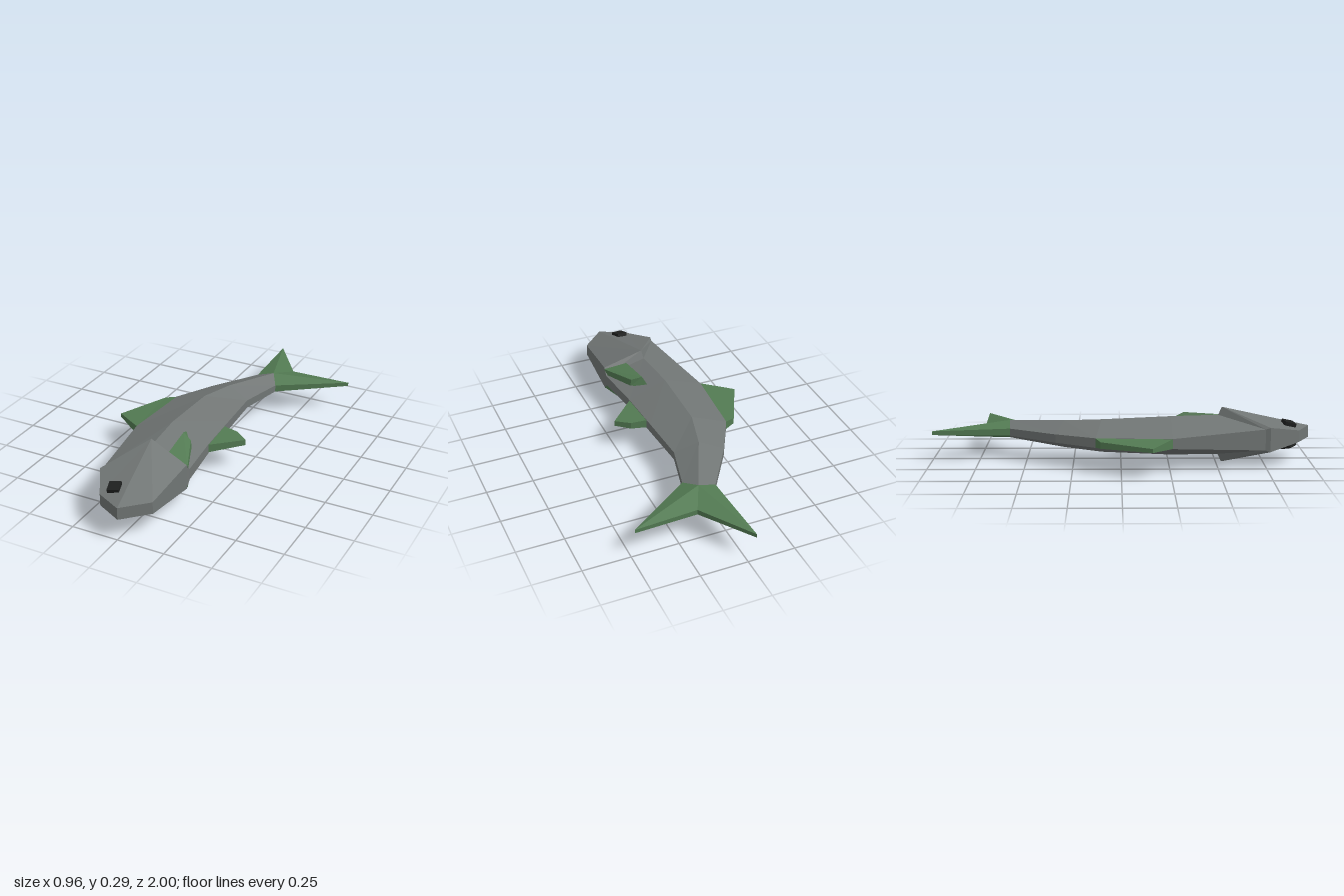
import * as THREE from 'three';

const MID = 0.147; // height of the mirror plane of the fish lying on its side

const material = (name, color) => {
  const m = new THREE.MeshStandardMaterial({ color });
  m.name = name;
  m.flatShading = true;
  return m;
};

// Faceted geometry from triangles of [x, y, z] corners
function facets(name, tris, mat) {
  const g = new THREE.BufferGeometry();
  g.setAttribute('position', new THREE.Float32BufferAttribute(tris.flat(2), 3));
  g.computeVertexNormals();
  const mesh = new THREE.Mesh(g, mat);
  mesh.name = name;
  return mesh;
}

// Solid mirrored in the plane y = MID. Points are [x, z, half height];
// faces index the upper skin, and open edges are closed by rim walls.
function mirrored(name, pts, faces, mat) {
  const up = i => [pts[i][0], MID + pts[i][2], pts[i][1]];
  const down = i => [pts[i][0], MID - pts[i][2], pts[i][1]];
  const tris = [];
  const edges = new Set();
  for (const [p, q, r] of faces) {
    const [A, B, C] = [pts[p], pts[q], pts[r]];
    const ny = (B[1] - A[1]) * (C[0] - A[0]) - (B[0] - A[0]) * (C[1] - A[1]);
    const [a, b, c] = ny > 0 ? [p, q, r] : [p, r, q];
    tris.push([up(a), up(b), up(c)], [down(a), down(c), down(b)]);
    for (const e of [[a, b], [b, c], [c, a]]) edges.add(e.join());
  }
  for (const e of edges) {
    const [a, b] = e.split(',').map(Number);
    if (edges.has(`${b},${a}`)) continue;
    tris.push([up(b), up(a), down(a)], [up(b), down(a), down(b)]);
  }
  return facets(name, tris, mat);
}

// Triangles fanning from point 0 to the remaining points
const fan = n => Array.from({ length: n - 2 }, (_, i) => [0, i + 1, i + 2]);

export function createModel() {
  const model = new THREE.Group();
  model.name = 'fish';
  const skin = material('grey skin', 0x707574);
  const green = material('green fin', 0x527a52);
  const black = material('black eye', 0x1e201f);

  // Body: cross-sections of back edge, flank ridge and belly edge
  const sections = [
    [[-0.225, 0.745, 0.055], [-0.08, 0.51, 0.105], [0.138, 0.53, 0.03]],
    [[-0.32, 0.26, 0.026], [-0.105, 0.26, 0.103], [0.105, 0.26, 0.026]],
    [[-0.293, -0.13, 0.025], [-0.105, -0.1, 0.087], [0.088, 0, 0.025]],
    [[-0.18, -0.34, 0.022], [-0.055, -0.3, 0.072], [0.07, -0.27, 0.022]],
    [[-0.015, -0.59, 0.019], [0.08, -0.595, 0.048], [0.13, -0.51, 0.019]],
  ];
  const strips = [];
  for (let i = 0; i < sections.length - 1; i++) {
    for (let j = 0; j < 2; j++) {
      const k = i * 3 + j;
      strips.push([k, k + 1, k + 4], [k, k + 4, k + 3]);
    }
  }
  model.add(mirrored('body', sections.flat(), strips, skin));

  // Head: facets meeting at the gill peak, with a sloping gill lip behind
  model.add(mirrored('head', [
    [-0.075, 0.53, 0.147],
    [-0.228, 0.77, 0.064], [-0.132, 0.93, 0.031], [0.005, 1, 0.032],
    [0.128, 0.88, 0.032], [0.137, 0.56, 0.068],
    ...sections[0],
  ], [...fan(6), [0, 1, 6], [0, 6, 7], [0, 7, 8], [0, 8, 5]], skin));

  // Back and belly fins
  model.add(mirrored('dorsalFin', [
    [-0.32, 0.262, 0.025], [-0.48, 0.155, 0.01],
    [-0.35, -0.105, 0.017], [-0.293, -0.13, 0.024],
  ], fan(4), green));
  model.add(mirrored('bellyFin', [
    [0.105, 0.262, 0.022], [0.247, 0.12, 0.015],
    [0.175, 0.065, 0.018], [0.088, 0.05, 0.023],
  ], fan(4), green));

  // Forked tail, creased from the root towards both lobes
  model.add(mirrored('tailFin', [
    [0.08, -0.595, 0.048], [-0.015, -0.59, 0.019], [-0.04, -1, 0.01],
    [0.145, -0.73, 0.014], [0.477, -0.745, 0.01], [0.13, -0.51, 0.019],
  ], fan(6), green));

  // Pectoral fins and eyes on both flanks
  const outer = [[0.02, 0.235, 0.545], [0, 0.252, 0.335], [0.055, 0.232, 0.36], [0.14, 0.208, 0.555]];
  const inner = [[0, 0.205, 0.54], [-0.01, 0.23, 0.285], [0.06, 0.19, 0.36], [0.135, 0.175, 0.54]];
  for (const side of [1, -1]) {
    const place = ([x, y, z]) => [x, MID + side * (y - MID), z];
    const tris = [];
    const quad = (...q) => {
      const [a, b, c, d] = (side > 0 ? q : q.reverse()).map(place);
      tris.push([a, b, c], [a, c, d]);
    };
    quad(outer[3], outer[2], outer[1], outer[0]);
    quad(...inner);
    for (let i = 0; i < 4; i++) {
      const j = (i + 1) % 4;
      quad(outer[i], outer[j], inner[j], inner[i]);
    }
    const label = side > 0 ? 'upper' : 'lower';
    model.add(facets(`${label}PectoralFin`, tris, green));

    const eye = new THREE.Mesh(new THREE.BoxGeometry(0.06, 0.02, 0.062), black);
    eye.name = `${label}Eye`;
    eye.position.set(-0.078, MID + side * 0.06, 0.883);
    const normal = new THREE.Vector3(-0.06, side, 0.27).normalize();
    eye.quaternion.setFromUnitVectors(new THREE.Vector3(0, 1, 0), normal);
    eye.rotateY(0.26);
    model.add(eye);
  }
  return model;
}
